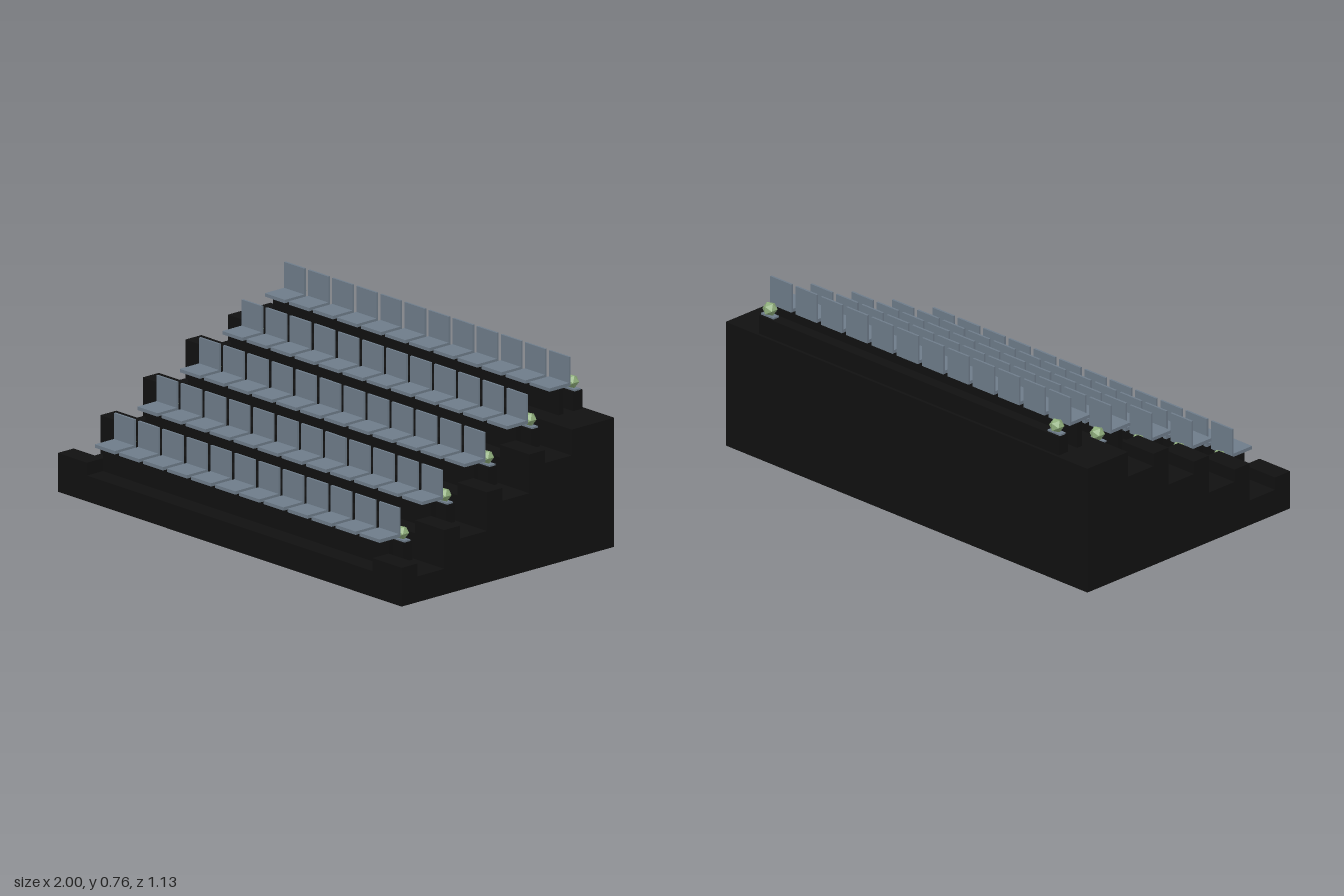
import * as THREE from 'three';

const black = new THREE.MeshStandardMaterial({ name: 'matte black', color: 0x111111 });
const slate = new THREE.MeshStandardMaterial({ name: 'slate grey', color: 0x6f7d8b });
const green = new THREE.MeshStandardMaterial({ name: 'leaf green', color: 0x8fae7c });
green.flatShading = true;

const ROWS = 5, SEATS = 12;
const DEPTH = 0.2268, RISE = 0.1067, FRONT = 0.567;
const HALF = 0.83; // half width of the seating block, aisles lie outside it

// Box given by its centre in x and z and its underside in y
function box(parent, name, material, w, h, d, x, y, z) {
  const mesh = new THREE.Mesh(new THREE.BoxGeometry(w, h, d), material);
  mesh.name = name;
  mesh.position.set(x, y + h / 2, z);
  parent.add(mesh);
  return mesh;
}

// Solid stepped body, extruded across the full width
function terrace() {
  const shape = new THREE.Shape();
  shape.moveTo(-FRONT, 0);
  for (let i = 0; i < ROWS; i++) {
    shape.lineTo(-FRONT + i * DEPTH, (i + 1) * RISE);
    shape.lineTo(-FRONT + (i + 1) * DEPTH, (i + 1) * RISE);
  }
  shape.lineTo(FRONT, 0);
  const geometry = new THREE.ExtrudeGeometry(shape, { depth: 2, bevelEnabled: false });
  geometry.translate(0, 0, -1);
  geometry.rotateY(Math.PI / 2);
  // the profile runs front to back, so turn it to face +z
  const mesh = new THREE.Mesh(geometry, black);
  mesh.name = 'terrace';
  return mesh;
}

// Seat pan with an upright back
function seat(x, y, z) {
  const group = new THREE.Group();
  group.name = 'seat';
  box(group, 'seatPan', slate, 0.117, 0.014, 0.112, 0, 0, 0);
  box(group, 'seatBack', slate, 0.117, 0.107, 0.009, 0, 0.014, -0.0515);
  group.position.set(x, y, z);
  return group;
}

// Small faceted shrub on a plate
function shrub(x, y, z) {
  const group = new THREE.Group();
  group.name = 'shrub';
  box(group, 'shrubPlate', slate, 0.07, 0.007, 0.03, 0, 0, 0);
  const leaves = new THREE.Mesh(new THREE.IcosahedronGeometry(0.031, 0), green);
  leaves.name = 'leaves';
  leaves.scale.y = 0.95;
  leaves.position.y = 0.031;
  group.add(leaves);
  group.position.set(x, y, z);
  return group;
}

export function createModel() {
  const model = new THREE.Group();
  model.name = 'grandstand';
  model.add(terrace());

  for (let i = 0; i < ROWS; i++) {
    const row = new THREE.Group();
    row.name = 'row';
    const floor = (i + 1) * RISE;
    const front = FRONT - i * DEPTH;

    // Beam carrying the seats, and planter wall behind them
    box(row, 'seatBeam', black, HALF * 2, RISE, 0.027, 0, floor, front - 0.0985);
    box(row, 'planterWall', black, HALF * 2, 0.079, 0.05, 0, floor, front - 0.189);

    for (let s = 0; s < SEATS; s++) {
      row.add(seat((s - (SEATS - 1) / 2) * 0.14, floor + RISE, front - 0.096));
    }

    for (const side of [-1, 1]) {
      row.add(shrub(side * 0.793, floor + 0.079, front - 0.189));
      // Half-height aisle step up to the next tier
      if (i < ROWS - 1) {
        box(row, 'aisleStep', black, 1 - HALF, RISE / 2, 0.085, side * (1 + HALF) / 2, floor, front - 0.0425);
      }
    }
    model.add(row);
  }
  return model;
}
